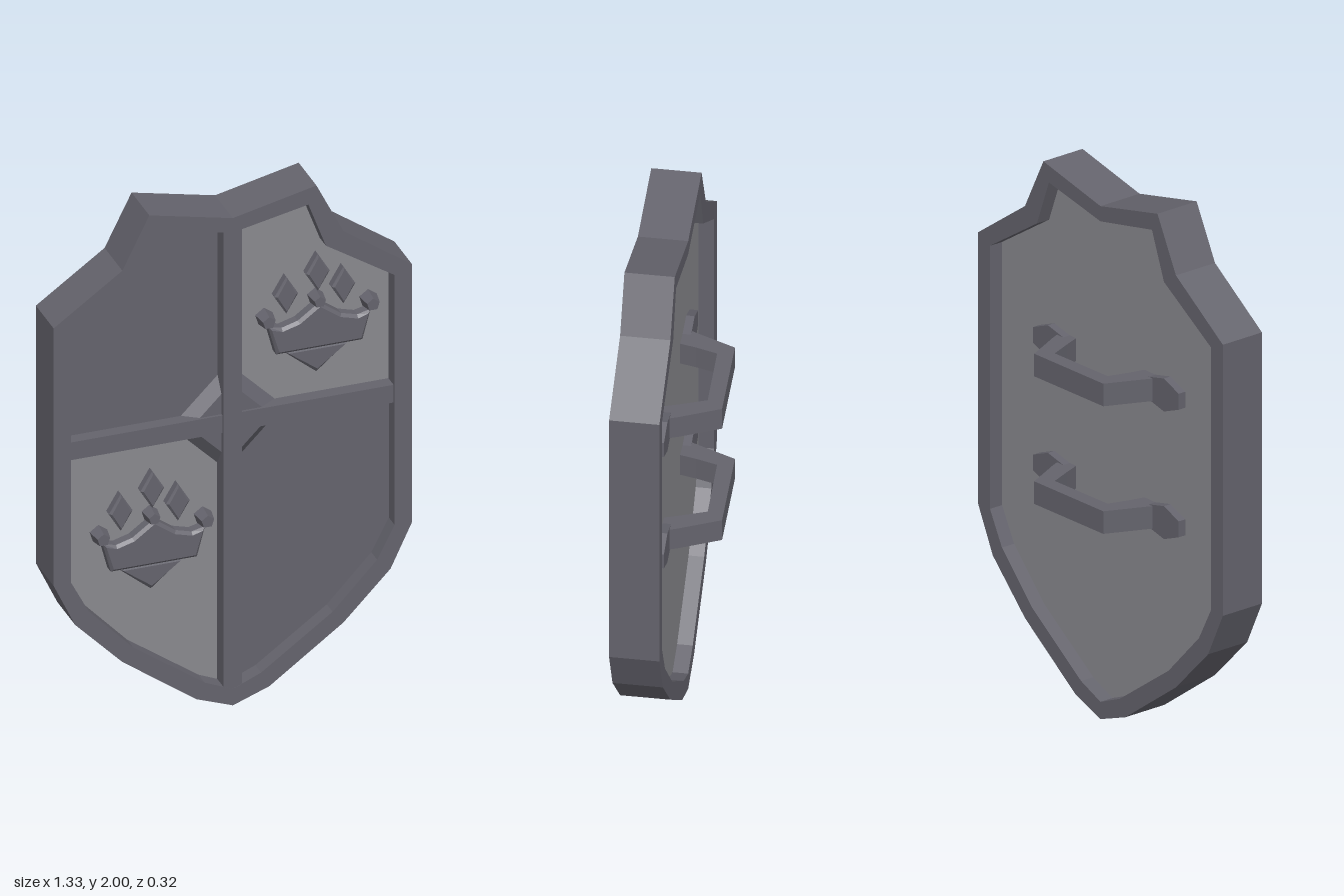
import * as THREE from 'three';

const dark = new THREE.MeshStandardMaterial({ name: 'dark iron', color: 0x64636c, flatShading: true });
const light = new THREE.MeshStandardMaterial({ name: 'light steel', color: 0x89898e, flatShading: true });

// right halves of the rim edges, from top centre to bottom centre
const OUTER = [[0, 1.93], [0.31, 2], [0.41, 1.8], [0.665, 1.62], [0.665, 0.6], [0.585, 0.43], [0.41, 0.25], [0.135, 0.05], [0, 0]];
const INNER = [[0, 1.873], [0.28, 1.93], [0.345, 1.755], [0.6, 1.59], [0.6, 0.6], [0.535, 0.475], [0.37, 0.3], [0.105, 0.11], [0, 0.065]];

const toPoints = (list) => list.map(([x, y]) => new THREE.Vector2(x, y));
const mirrored = (half) => toPoints([...half, ...half.slice(1, -1).reverse().map(([x, y]) => [-x, y])]);

function add(parent, name, geometry, material = dark) {
  const mesh = new THREE.Mesh(geometry, material);
  mesh.name = name;
  parent.add(mesh);
  return mesh;
}

// flat outline extruded from z0 to z1, with an optional chamfer on the front
function slab(points, z0, z1, hole, bevel = 0) {
  const shape = new THREE.Shape(points);
  if (hole) shape.holes.push(new THREE.Path(hole));
  const geometry = new THREE.ExtrudeGeometry(shape, {
    depth: z1 - z0 - bevel, bevelEnabled: bevel > 0, bevelThickness: bevel,
    bevelSize: bevel, bevelOffset: -bevel, bevelSegments: 1,
  });
  return geometry.translate(0, 0, z0);
}

function bar(w, h, z0, z1, x, y) {
  return new THREE.BoxGeometry(w, h, z1 - z0).translate(x, y, (z0 + z1) / 2);
}

// regular tapered stud facing +z, with a corner pointing up
function stud(topRadius, baseRadius, sides, z0, z1) {
  const geometry = new THREE.CylinderGeometry(topRadius, baseRadius, z1 - z0, sides, 1, false, Math.PI);
  return geometry.rotateX(Math.PI / 2).translate(0, 0, (z0 + z1) / 2);
}

const FLOOR = 0.1;   // front of the recessed panel
const BACK = 0.04;   // back of the recessed panel

// crown emblem with floating diamonds, a pendant and knobs
function makeCrown(x, y) {
  const crown = new THREE.Group();
  crown.name = 'crownEmblem';
  const half = [[0, 1.52], [0.08, 1.462], [0.14, 1.445], [0.19, 1.457], [0.16, 1.343], [0, 1.343]];
  add(crown, 'crownBody', slab(mirrored(half), FLOOR - 0.01, 0.145, null, 0.011));
  add(crown, 'crownPendant', slab(toPoints([[-0.128, 1.341], [-0.006, 1.24], [0.116, 1.341]]), FLOOR - 0.01, 0.132, null, 0.013));
  for (const [kx, ky, r] of [[-0.193, 1.483, 0.036], [0.193, 1.483, 0.036], [-0.004, 1.53, 0.032]]) {
    const knob = add(crown, 'crownKnob', stud(r * 0.68, r, 5, FLOOR - 0.01, 0.155));
    knob.position.set(kx, ky, 0);
  }
  for (const [dx, dy] of [[-0.003, 1.635], [-0.12, 1.567], [0.092, 1.567]]) {
    const diamond = toPoints([[dx, dy + 0.073], [dx - 0.044, dy], [dx, dy - 0.073], [dx + 0.044, dy]]);
    add(crown, 'crownDiamond', slab(diamond, FLOOR - 0.01, 0.135, null, 0.008));
  }
  crown.position.set(x, y, 0);
  return crown;
}

// bent grip bar on the back with a six-sided foot at each end
function makeHandle(y) {
  const handle = new THREE.Group();
  handle.name = 'handle';
  const height = 0.085;
  const outline = toPoints([
    [-0.27, 0.045], [-0.24, -0.018], [-0.18, -0.152], [0.183, -0.162], [0.254, -0.018], [0.28, 0.045],
    [0.2, 0.045], [0.176, -0.018], [0.14, -0.105], [-0.136, -0.096], [-0.16, -0.018], [-0.175, 0.045],
  ]);
  const grip = new THREE.ExtrudeGeometry(new THREE.Shape(outline), { depth: height, bevelEnabled: false });
  grip.rotateX(Math.PI / 2).translate(0, height / 2, 0);
  add(handle, 'grip', grip);
  for (const side of [-1, 1]) {
    const foot = toPoints([[0.2, 0.035], [0.315, 0.062], [0.395, 0.03], [0.395, -0.03], [0.315, -0.062], [0.2, -0.035]]
      .map(([fx, fy]) => [fx * side, fy]));
    add(handle, 'handleFoot', slab(foot, 0.01, 0.05));
  }
  handle.position.y = y;
  return handle;
}

export function createModel() {
  const shield = new THREE.Group();
  shield.name = 'shield';

  // rim and recessed panel
  add(shield, 'rim', slab(mirrored(OUTER), -0.015, 0.162, mirrored(INNER).reverse()));
  add(shield, 'panel', slab(mirrored(INNER), BACK, FLOOR), light);

  // dark quarters: upper right and lower left as the model wears it
  const upper = [[0, 1.115], [0, 1.873], [-0.28, 1.93], [-0.345, 1.755], [-0.6, 1.59], [-0.6, 1.115]];
  const lower = [[0, 1.115], ...INNER.slice(4).reverse(), [0.6, 1.115]];
  for (const [name, quarter] of [['upperDarkQuarter', upper], ['lowerDarkQuarter', lower]]) {
    add(shield, name, slab(toPoints(quarter), FLOOR - 0.002, FLOOR + 0.004));
  }

  // cross bars with a chamfered diamond boss at the centre
  add(shield, 'verticalBar', bar(0.07, 1.83, FLOOR - 0.02, 0.161, 0, 0.975));
  add(shield, 'horizontalBar', bar(1.21, 0.07, FLOOR - 0.02, 0.152, 0, 1.115));
  add(shield, 'centreBoss', stud(0.15, 0.22, 4, FLOOR - 0.005, 0.142)).position.y = 1.115;

  shield.add(makeCrown(0.331, 0), makeCrown(-0.283, -0.743));
  shield.add(makeHandle(1.313), makeHandle(0.833));
  return shield;
}
